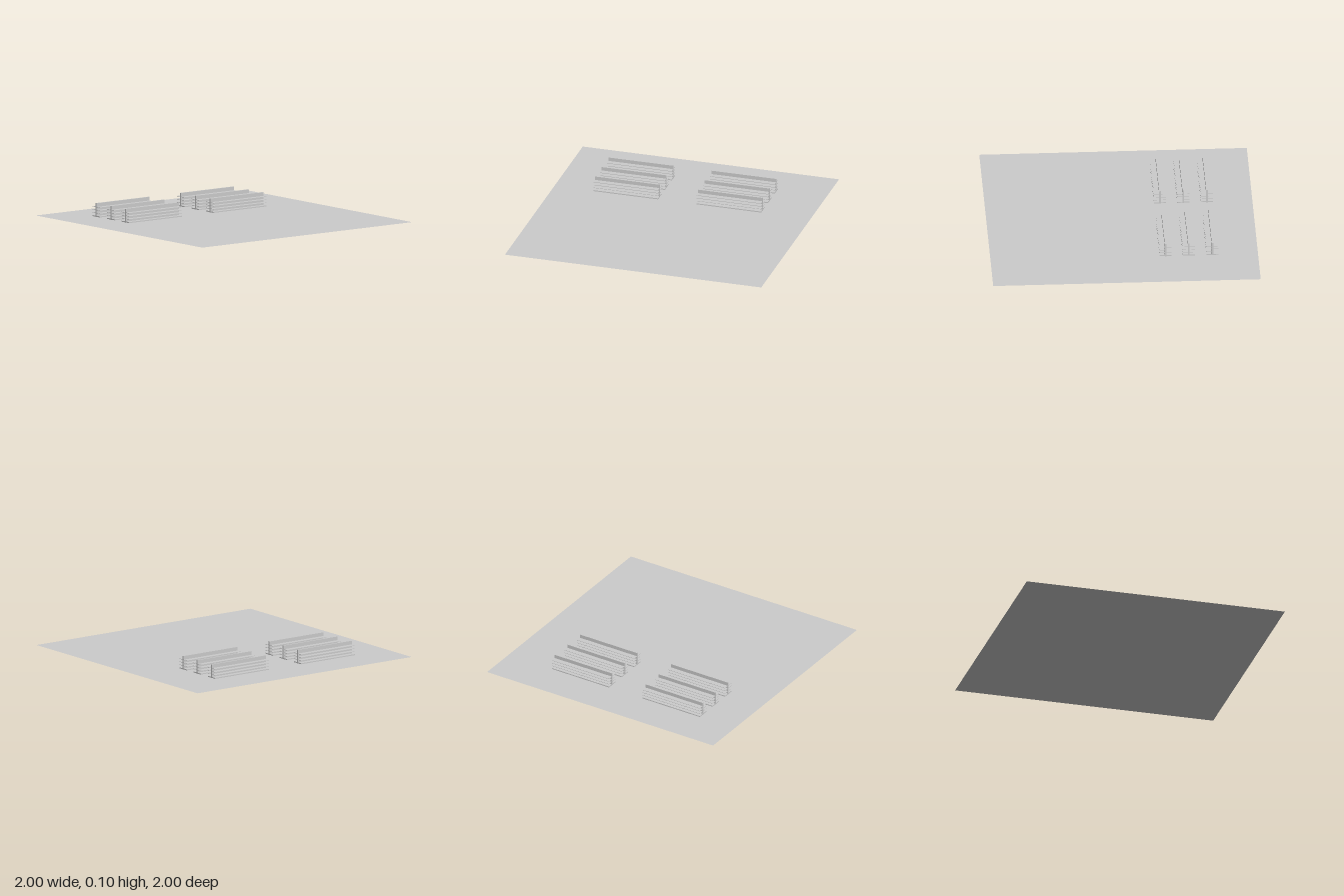
import * as THREE from 'three';

const grey = new THREE.MeshStandardMaterial({ color: 0xcccccc });
const greyDouble = new THREE.MeshStandardMaterial({ color: 0xcccccc, side: THREE.DoubleSide });

const LENGTH = 0.505;
const WIDTH = 0.09;
const HEIGHT = 0.105;

function addBox(parent, name, w, h, d, y) {
  const mesh = new THREE.Mesh(new THREE.BoxGeometry(w, h, d), grey);
  mesh.name = name;
  mesh.position.y = y;
  parent.add(mesh);
}

// Double-sided shelving unit: base, central back panel and stacked shelves
function createShelfUnit() {
  const unit = new THREE.Group();
  unit.name = 'shelfUnit';
  addBox(unit, 'base', WIDTH, 0.008, LENGTH, 0.006);
  addBox(unit, 'backPanel', 0.012, HEIGHT, LENGTH, HEIGHT / 2);
  for (const y of [0.03, 0.053, 0.076]) {
    addBox(unit, 'shelf', WIDTH, 0.003, LENGTH, y);
  }
  return unit;
}

export function createModel() {
  const model = new THREE.Group();
  model.name = 'shopFloor';

  // Flat square floor without thickness
  const floor = new THREE.Mesh(new THREE.PlaneGeometry(2, 2).rotateX(-Math.PI / 2), greyDouble);
  floor.name = 'floor';
  model.add(floor);

  // Two rows of three shelving units
  for (const z of [-0.362, 0.442]) {
    for (const x of [-0.66, -0.483, -0.309]) {
      const unit = createShelfUnit();
      unit.position.set(x, 0, z);
      model.add(unit);
    }
  }
  return model;
}
